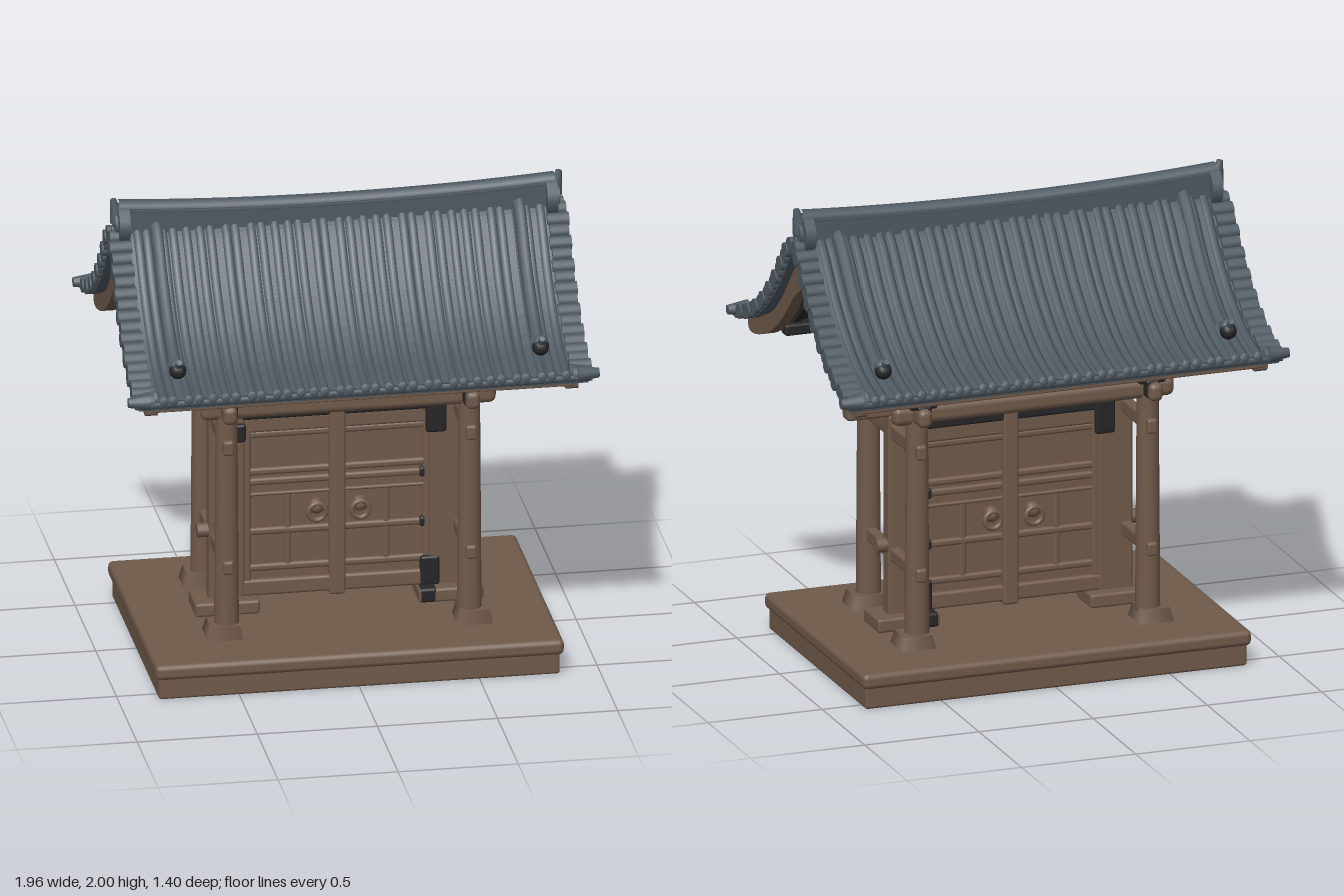
import * as THREE from 'three';
import { RoundedBoxGeometry } from 'three/addons/geometries/RoundedBoxGeometry.js';

const mat = (name, color) => {
  const m = new THREE.MeshStandardMaterial({ color });
  m.name = name;
  return m;
};

export function createModel() {
  const wood = mat('brown wood', 0x705a4a);
  const tile = mat('slate tile', 0x505a62);
  const dark = mat('dark timber', 0x262628);
  const root = new THREE.Group();
  root.name = 'gateHouse';

  const add = (name, geo, m, x = 0, y = 0, z = 0) => {
    const mesh = new THREE.Mesh(geo, m);
    mesh.name = name;
    mesh.position.set(x, y, z);
    root.add(mesh);
    return mesh;
  };
  // Softened block given by its centre and size
  const block = (name, m, x, y, z, w, h, d, r = 0.012) =>
    add(name, new RoundedBoxGeometry(w, h, d, 2, Math.min(r, w / 2.1, h / 2.1, d / 2.1)), m, x, y, z);
  // Round log lying along x, optionally tapered towards +x
  const log = (name, m, x, y, z, r, len, rEnd = r) => {
    const g = new THREE.CylinderGeometry(r, rEnd, len, 14);
    g.rotateZ(Math.PI / 2);
    return add(name, g, m, x, y, z);
  };
  const signs = [-1, 1];

  // Stepped plinth with a shallow recess underneath
  block('plinthCore', wood, 0, 0.07, 0, 1.64, 0.06, 1.11);
  for (const s of signs) {
    block('plinthLongWall', wood, 0, 0.05, s * 0.55, 1.67, 0.1, 0.04);
    block('plinthShortWall', wood, s * 0.815, 0.05, 0, 0.04, 0.1, 1.14);
  }
  block('plinthUpper', wood, 0, 0.122, 0, 1.7, 0.066, 1.18, 0.022);

  // Posts, footings, tie beams and brackets on each side
  for (const s of signs) {
    for (const f of signs) {
      add('post', new THREE.CylinderGeometry(0.045, 0.052, 1.02, 16), wood, s * 0.505, 0.69, f * 0.285);
      const foot = new THREE.CylinderGeometry(0.085, 0.105, 0.06, 4);
      foot.rotateY(Math.PI / 4);
      add('footing', foot, wood, s * 0.52, 0.183, f * 0.285);
      for (const y of [0.47, 1.0]) block('wedge', wood, s * 0.505, y, f * 0.335, 0.032, 0.055, 0.03);
      // Dark bracket set above the post
      block('bracketBlock', dark, s * 0.5, 1.22, f * 0.3, 0.12, 0.06, 0.12);
      block('bracketArm', dark, s * 0.5, 1.28, f * 0.31, 0.24, 0.06, 0.1);
      block('bracketArmCross', dark, s * 0.5, 1.33, f * 0.31, 0.08, 0.06, 0.2);
      block('bracketTip', dark, s * 0.5, 1.17, f * 0.345, 0.06, 0.08, 0.05);
      // Brown arm reaching out towards the gable
      block('armEnd', wood, s * 0.62, 1.275, f * 0.3, 0.1, 0.04, 0.06);
      // Gable struts
      block('gableStrut', dark, s * 0.5, 1.445, f * 0.14, 0.06, 0.12, 0.17, 0.03);
      block('gableStrutFoot', dark, s * 0.5, 1.365, f * 0.11, 0.06, 0.07, 0.1);
    }
    block('centreFooting', wood, s * 0.465, 0.183, 0, 0.27, 0.06, 0.18);
    block('centrePost', wood, s * 0.46, 0.62, 0, 0.15, 0.9, 0.07);
    block('gablePost', wood, s * 0.5, 1.3, 0, 0.07, 0.6, 0.062);
    block('gableCollar', dark, s * 0.5, 1.445, 0, 0.05, 0.08, 0.16);
    block('lowerTie', wood, s * 0.505, 0.47, 0, 0.045, 0.06, 0.7);
    block('middleTie', wood, s * 0.505, 1.0, 0, 0.045, 0.065, 0.7);
    block('upperTie', wood, s * 0.505, 1.16, 0, 0.06, 0.08, 0.8, 0.025);
    block('crossBeam', wood, s * 0.505, 1.305, 0, 0.06, 0.055, 0.66, 0.02);
    log('peg', wood, s * 0.55, 0.505, 0, 0.03, 0.06);
    block('gableBoss', dark, s * 0.5, 1.26, 0, 0.1, 0.09, 0.14, 0.03);
  }

  // Long beams along x
  block('mainBeam', wood, 0, 1.1, 0, 1.43, 0.075, 0.07, 0.015);
  for (const f of signs) {
    block('eaveBeam', wood, 0, 1.155, f * 0.285, 1.23, 0.085, 0.07, 0.03);
    block('wallPlate', wood, 0, 1.3, f * 0.3, 1.36, 0.05, 0.07, 0.02);
    block('purlin', dark, 0, 1.36, f * 0.36, 1.7, 0.05, 0.06);
    for (const x of [-0.17, 0.17]) {
      block('midBracket', dark, x, 1.235, f * 0.29, 0.12, 0.07, 0.09, 0.025);
      block('midBracketCap', dark, x, 1.285, f * 0.29, 0.18, 0.04, 0.1);
    }
    block('bracketRail', dark, 0, 1.26, f * 0.29, 1.2, 0.03, 0.05);
  }
  block('ridgePurlin', dark, 0, 1.6, 0, 1.72, 0.11, 0.09);

  // Door frame, two leaves with rails and ring handles
  block('lintelTop', dark, 0, 1.085, 0, 0.9, 0.045, 0.084);
  block('lintel', dark, 0, 1.02, 0, 0.84, 0.06, 0.07);
  block('doorHead', wood, 0, 0.965, 0, 0.78, 0.07, 0.056);
  block('threshold', wood, 0, 0.245, 0, 0.8, 0.07, 0.064);
  block('centreStile', wood, 0, 0.63, 0, 0.068, 0.87, 0.08);
  // Dark hinge irons
  block('lowerHinge', dark, 0.385, 0.275, 0, 0.08, 0.13, 0.085);
  block('lowerHingeFoot', dark, 0.37, 0.185, 0, 0.07, 0.062, 0.184);
  for (const y of [0.49, 0.71]) block('smallHinge', dark, 0.355, y, 0, 0.025, 0.045, 0.062);
  for (const s of signs) {
    block('doorPanel', wood, s * 0.2, 0.6, 0, 0.36, 0.72, 0.026, 0.004);
    block('hingeStile', wood, s * 0.375, 0.6, 0, 0.035, 0.74, 0.056);
    for (const y of [0.33, 0.49, 0.655, 0.71, 0.755, 0.92])
      block('doorRail', wood, s * 0.2, y, 0, 0.35, y === 0.655 ? 0.015 : 0.032, 0.05);
    block('doorMuntin', wood, s * 0.205, 0.49, 0, 0.032, 0.34, 0.046);
    for (const f of signs) {
      // The bracket is larger on the leading side of each face
      const big = s === f;
      block('frameBracket', dark, s * 0.41, big ? 0.965 : 0.94, f * 0.035, big ? 0.085 : 0.055, big ? 0.15 : 0.08, 0.035);
      add('handlePlate', new THREE.SphereGeometry(0.034, 12, 8), wood, s * 0.09, 0.6, f * 0.045);
      add('handleRing', new THREE.TorusGeometry(0.036, 0.011, 8, 18), wood, s * 0.09, 0.58, f * 0.068);
    }
  }

  // Smooth half profile of (z, y) points
  const smooth = (pts, n = 16) => new THREE.SplineCurve(pts.map(p => new THREE.Vector2(...p))).getPoints(n);
  const slope = [[0, 1.87], [0.05, 1.83], [0.1, 1.775], [0.17, 1.685], [0.26, 1.59], [0.38, 1.49], [0.52, 1.41], [0.68, 1.365]];
  const top = smooth(slope, 22);
  // Same curve sunk by d along its normal
  const sunk = (d, zMax = 9) => top.map((p, i) => {
    const a = top[Math.max(i - 1, 0)], b = top[Math.min(i + 1, top.length - 1)];
    const t = b.clone().sub(a).normalize();
    return new THREE.Vector2(p.x + t.y * d, p.y - t.x * d);
  }).filter(p => p.x > 0.002 && p.x < zMax);
  // Mirrored band between two half profiles, extruded along x
  const band = (name, m, upper, lower, w, x = 0) => {
    const flip = a => a.map(p => new THREE.Vector2(-p.x, p.y));
    const outline = [...[...upper].reverse(), ...flip(upper).filter(p => p.x < -0.001),
      ...flip(lower).reverse(), ...lower.filter(p => p.x > 0.001)];
    const g = new THREE.ExtrudeGeometry(new THREE.Shape(outline), { depth: w, bevelEnabled: false });
    g.translate(0, 0, -w / 2);
    g.rotateY(Math.PI / 2);
    return add(name, g, m, x);
  };
  band('tileBed', tile, sunk(-0.006), sunk(0.04), 1.87);
  band('soffit', dark, sunk(0.041, 0.65), sunk(0.075, 0.65), 1.76);

  // Bargeboards at the gables
  const bargeTop = smooth([[0, 1.79], [0.1, 1.7], [0.25, 1.53], [0.4, 1.42], [0.64, 1.345]]);
  const bargeLow = smooth([[0, 1.65], [0.1, 1.585], [0.22, 1.465], [0.36, 1.36], [0.5, 1.3], [0.6, 1.28], [0.635, 1.295]]);
  for (const s of signs) band('bargeboard', wood, bargeTop, bargeLow, 0.05, s * 0.875);

  // Rafters under the soffit
  for (let i = -9; i <= 9; i++) band('rafter', dark, sunk(0.07, 0.58), sunk(0.1, 0.58), 0.035, i * 0.088);

  // Tile ribs running down each slope
  const slopeCurve = (f, x, lift, from = 0, to = top.length) =>
    new THREE.CatmullRomCurve3(top.slice(from, to).map(p => new THREE.Vector3(x, p.y + lift, f * p.x)));
  for (const f of signs) {
    for (let i = -16; i <= 16; i++) {
      const x = i * 0.0525 + 0.008 * Math.sin(i * 2.7 + f);
      add('tileRib', new THREE.TubeGeometry(slopeCurve(f, x, 0), 18, 0.021, 7), tile);
      const end = new THREE.SphereGeometry(0.024, 8, 6);
      end.scale(1, 1, 0.5);
      add('ribEnd', end, tile, x, 1.364, f * 0.677);
    }
    log('eaveTileEdge', tile, 0, 1.352, f * 0.665, 0.02, 1.9);
    block('eaveBoard', wood, 0, 1.318, f * 0.622, 1.76, 0.034, 0.035, 0.006);
    for (const s of signs) {
      // Slim descending ridge with a dark round finial
      add('descendingRidge', new THREE.TubeGeometry(slopeCurve(f, s * 0.755, 0.022, 0, 19), 18, 0.027, 8), tile);
      add('finial', new THREE.SphereGeometry(0.036, 12, 10), dark, s * 0.755, 1.452, f * 0.56);
      add('finialCap', new THREE.SphereGeometry(0.034, 12, 10), tile, s * 0.755, 1.465, f * 0.55);
      const tip = add('finialTip', new THREE.CylinderGeometry(0.012, 0.02, 0.05, 8), tile, s * 0.755, 1.485, f * 0.582);
      tip.rotation.x = f * 0.8;
      // Overlapping verge tiles and flared corner
      const verge = slopeCurve(f, s * 0.91, -0.01);
      for (let k = 0; k < 17; k++) {
        const p = verge.getPointAt(0.04 + k * 0.058);
        log('vergeTile', tile, p.x, p.y, p.z, 0.031, 0.08 + 0.012 * (k % 2));
      }
      for (const z of [0.635, 0.665])
        log('cornerTile', tile, s * (z + 0.27), 1.365, f * z, s > 0 ? 0.034 : 0.02, 0.09, s > 0 ? 0.02 : 0.034);
    }
  }

  // Ridge: tall body with rounded cap, sweeping up to the ends
  const lift = x => 0.03 * (x / 0.9) ** 2;
  const body = new THREE.BoxGeometry(1.8, 0.13, 0.07, 24, 1, 1);
  const pos = body.attributes.position;
  for (let i = 0; i < pos.count; i++)
    if (pos.getY(i) > 0) pos.setY(i, pos.getY(i) + lift(pos.getX(i)));
  body.computeVertexNormals();
  add('ridgeBody', body, tile, 0, 1.87, 0);
  const capPts = [];
  for (let i = -8; i <= 8; i++) capPts.push(new THREE.Vector3(i * 0.1135, 1.925 + lift(i * 0.1135), 0));
  add('ridgeCap', new THREE.TubeGeometry(new THREE.CatmullRomCurve3(capPts), 32, 0.037, 10), tile);
  for (const s of signs) {
    log('ridgeEndDisc', tile, s * 0.89, 1.89, 0, 0.084, 0.045);
    log('ridgeEndBoss', tile, s * 0.9, 1.89, 0, 0.05, 0.05);
    const horn = add('ridgeHorn', new THREE.CylinderGeometry(0.013, 0.034, 0.1, 10), tile, s * 0.918, 1.948, 0);
    horn.rotation.z = -s * 0.2;
  }
  return root;
}
